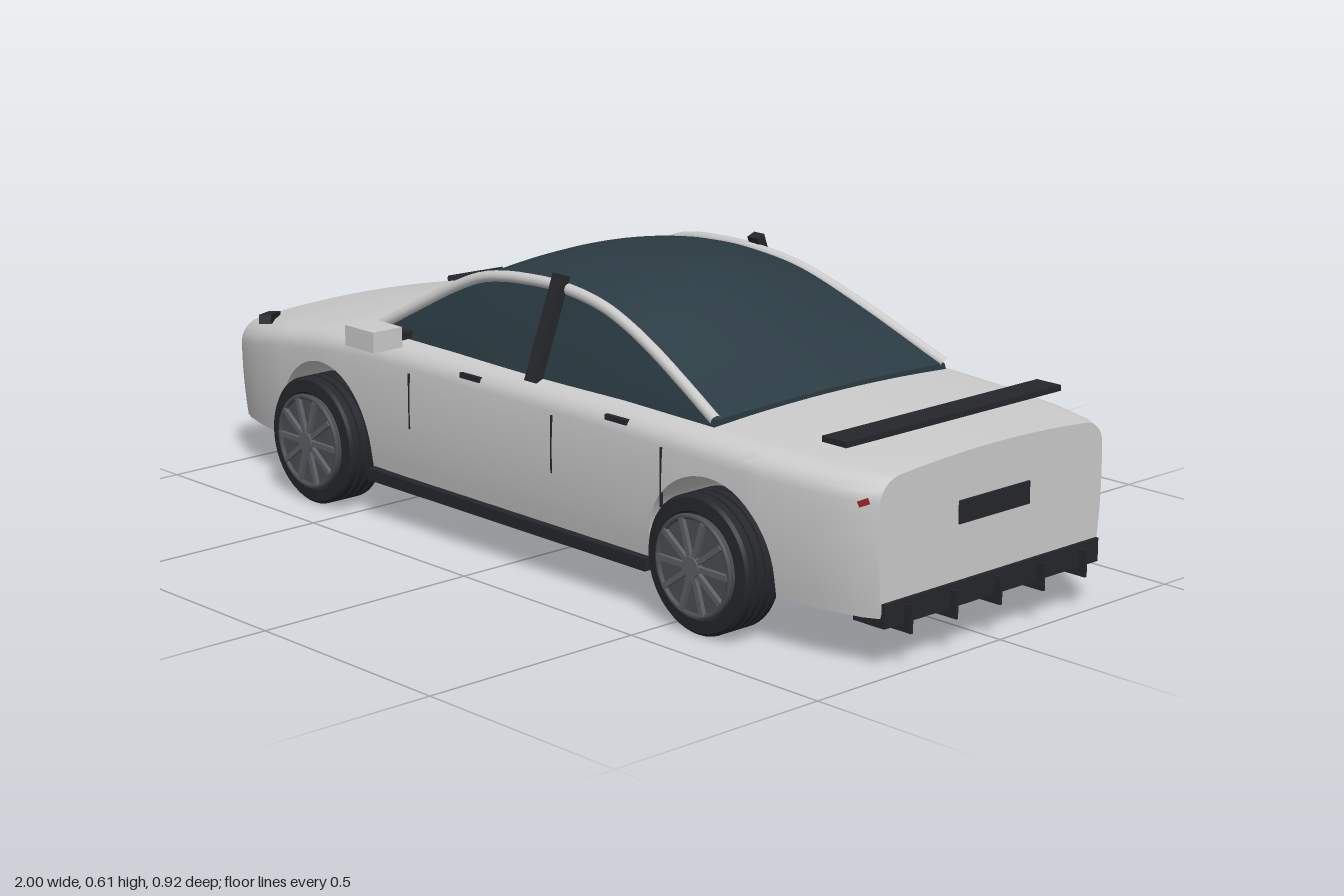
import * as THREE from 'three';
import { toCreasedNormals } from 'three/addons/utils/BufferGeometryUtils.js';

const mat = (color) => new THREE.MeshStandardMaterial({ color });
const paint = mat(0xcccccc), black = mat(0x25272b), glass = mat(0x2b3b43);
const rimGrey = mat(0x4b5054), spokeGrey = mat(0x5c6165), red = mat(0x992222);

const FLOOR = 0.105, ARCH_R = 0.165, AXLE_Y = 0.145, AXLES = [-0.62, 0.585];

// piecewise linear lookup in [[x, value], ...]
function lookup(table, x) {
  for (let i = 1; i < table.length; i++) {
    const [x0, a] = table[i - 1], [x1, b] = table[i];
    if (x <= x1) return a + (b - a) * (x - x0) / (x1 - x0);
  }
  return table[table.length - 1][1];
}

// closed skin over half sections (bottom centre -> +z side -> top centre), mirrored in z
function loft(halves, crease) {
  const rings = halves.map((h) => [...h, ...h.slice(1, -1).reverse().map(([x, y, z]) => [x, y, -z])]);
  const n = rings[0].length, pos = [];
  const tri = (...pts) => pts.forEach((p) => pos.push(...p));
  for (let i = 0; i < rings.length - 1; i++) {
    for (let j = 0; j < n; j++) {
      const k = (j + 1) % n, A = rings[i], B = rings[i + 1];
      tri(A[j], B[j], B[k]);
      tri(A[j], B[k], A[k]);
    }
  }
  for (const end of [0, rings.length - 1]) {
    const r = rings[end], mid = [r[0][0], (r[0][1] + r[halves[0].length - 1][1]) / 2, 0];
    for (let j = 0; j < n; j++) {
      const k = (j + 1) % n;
      if (end === 0) tri(mid, r[j], r[k]); else tri(mid, r[k], r[j]);
    }
  }
  const g = new THREE.BufferGeometry();
  g.setAttribute('position', new THREE.Float32BufferAttribute(pos, 3));
  return toCreasedNormals(g, crease);
}

function add(parent, name, geometry, material, x = 0, y = 0, z = 0) {
  const m = new THREE.Mesh(geometry, material);
  m.name = name;
  m.position.set(x, y, z);
  parent.add(m);
  return m;
}
const box = (parent, name, material, size, at) => add(parent, name, new THREE.BoxGeometry(...size), material, ...at);

// body shell: flat floor, full-width wheel arches, rounded shoulders
function bodyGeometry() {
  const width = [[-1, 0.31], [-0.97, 0.326], [-0.9, 0.346], [-0.8, 0.364], [-0.6, 0.379], [-0.35, 0.386],
    [0.5, 0.386], [0.7, 0.378], [0.85, 0.36], [0.94, 0.337], [0.975, 0.318]];
  const top = [[-1, 0.335], [-0.8, 0.373], [-0.65, 0.394], [-0.48, 0.41], [-0.2, 0.412], [0.3, 0.41], [0.55, 0.404], [0.975, 0.388]];
  const stations = [];
  for (const [x] of [...width, ...top, [-0.1], [0.1]]) {
    if (AXLES.every((c) => Math.abs(x - c) > ARCH_R) && !stations.some((s) => s[0] === x)) stations.push([x, FLOOR]);
  }
  stations.sort((a, b) => a[0] - b[0]);
  for (const c of AXLES) {
    const arch = [[c - ARCH_R, FLOOR]];
    for (let i = 0; i <= 24; i++) {
      const a = Math.PI * (1 - i / 24);
      arch.push([c + ARCH_R * Math.cos(a), AXLE_Y + ARCH_R * Math.sin(a)]);
    }
    arch.push([c + ARCH_R, FLOOR]);
    const at = stations.findIndex((s) => s[0] > c);
    stations.splice(at, 0, ...arch);
  }
  return loft(stations.map(([x, yb]) => {
    const W = lookup(width, x), T = lookup(top, x), half = [[x, yb, 0]];
    const shoulder = T - 0.06;
    const bulge = (y) => W * (1 - 0.04 * ((y - 0.27) / 0.165) ** 2);
    for (let j = 0; j <= 8; j++) {
      const y = yb + (shoulder - yb) * j / 8;
      half.push([x, y, bulge(y)]);
    }
    const w = bulge(shoulder);
    for (let j = 1; j <= 7; j++) {
      const a = j / 7 * Math.PI / 2;
      half.push([x, shoulder + 0.049 * Math.sin(a), w - 0.06 * (1 - Math.cos(a))]);
    }
    for (let j = 1; j <= 5; j++) {
      const u = 1 - j / 5;
      half.push([x, T - 0.011 * u * u, (w - 0.06) * u]);
    }
    return half;
  }), 0.6);
}

const curve = (pts) => new THREE.CatmullRomCurve3(pts.map((p) => new THREE.Vector3(...p)));
const roofRail = curve([[-0.48, 0.405, 0.332], [-0.34, 0.485, 0.304], [-0.19, 0.556, 0.282], [-0.05, 0.573, 0.272],
  [0.06, 0.572, 0.27], [0.19, 0.553, 0.276], [0.34, 0.5, 0.292], [0.55, 0.405, 0.325]]);
const roofTop = curve([[-0.485, 0.408, 0], [-0.34, 0.503, 0], [-0.19, 0.582, 0], [-0.07, 0.608, 0],
  [0.06, 0.61, 0], [0.19, 0.6, 0], [0.36, 0.53, 0], [0.55, 0.413, 0]]);

// glass canopy: side windows up to the rails, domed roof between them
function canopyGeometry() {
  const halves = [];
  for (let i = 0; i <= 36; i++) {
    const r = roofRail.getPoint(i / 36), c = roofTop.getPoint(i / 36);
    const base = 0.332 + 0.012 * Math.sin(Math.PI * i / 36);
    const half = [[c.x, 0.37, 0], [r.x, 0.37, base], [r.x, 0.395, base - 0.003], [r.x, r.y, r.z]];
    for (let j = 1; j <= 10; j++) {
      const u = 1 - j / 10;
      half.push([c.x + (r.x - c.x) * u, c.y + (r.y - c.y) * u * u, r.z * u]);
    }
    halves.push(half);
  }
  return loft(halves, 0.5);
}

// wheel around the z axis, outer face towards +z
function makeWheel() {
  const wheel = new THREE.Group();
  const profile = [[0, -0.048], [0.115, -0.048], [0.134, -0.046], [0.14, -0.04]];
  for (const g of [-0.022, 0, 0.022]) profile.push([0.14, g - 0.003], [0.135, g - 0.002], [0.135, g + 0.002], [0.14, g + 0.003]);
  profile.push([0.14, 0.04], [0.134, 0.046], [0.108, 0.048], [0.104, 0.04], [0, 0.04]);
  const tyre = new THREE.LatheGeometry(profile.map((p) => new THREE.Vector2(...p)), 48);
  tyre.rotateX(Math.PI / 2);
  add(wheel, 'tyre', toCreasedNormals(tyre, 0.5), black);
  const disc = new THREE.CylinderGeometry(0.1, 0.1, 0.02, 40).rotateX(Math.PI / 2);
  add(wheel, 'rimDisc', disc, rimGrey, 0, 0, 0.042);
  add(wheel, 'rimRing', new THREE.TorusGeometry(0.099, 0.006, 8, 40), rimGrey, 0, 0, 0.053);
  for (let i = 0; i < 10; i++) {
    const a = i / 10 * Math.PI * 2;
    const s = box(wheel, 'spoke', spokeGrey, [0.078, 0.011, 0.012], [0.058 * Math.cos(a), 0.058 * Math.sin(a), 0.055]);
    s.rotation.z = a;
  }
  add(wheel, 'hubCap', new THREE.CylinderGeometry(0.022, 0.024, 0.016, 20).rotateX(Math.PI / 2), spokeGrey, 0, 0, 0.056);
  return wheel;
}

export function createModel() {
  const car = new THREE.Group();
  car.name = 'car';
  add(car, 'body', bodyGeometry(), paint);
  add(car, 'canopyGlass', canopyGeometry(), glass);

  for (const s of [1, -1]) {
    // roof rail
    const railPts = roofRail.getPoints(14).map((p) => new THREE.Vector3(p.x, p.y, p.z * s));
    add(car, 'roofRail', new THREE.TubeGeometry(new THREE.CatmullRomCurve3(railPts), 48, 0.012, 10), paint);
    // middle pillar
    const pillar = box(car, 'doorPillar', black, [0.03, 0.225, 0.022], [0.05, 0.495, s * 0.315]);
    pillar.rotation.x = -s * 0.36;
    // mirror
    box(car, 'mirror', paint, [0.095, 0.044, 0.076], [-0.377, 0.42, s * 0.423]);
    const arm = box(car, 'mirrorArm', black, [0.016, 0.014, 0.075], [-0.367, 0.41, s * 0.36]);
    arm.rotation.y = s * 0.2;
    // side skirt
    box(car, 'sideSkirt', black, [0.87, 0.026, 0.03], [-0.015, 0.098, s * 0.375]);
    // headlight and tail light
    const lamp = box(car, 'headlight', black, [0.13, 0.02, 0.026], [-0.905, 0.346, s * 0.3]);
    lamp.rotation.set(0, -s * 0.81, 0.17, 'YXZ');
    const tail = box(car, 'tailLight', red, [0.022, 0.012, 0.012], [0.945, 0.33, s * 0.327]);
    tail.rotation.set(0, s * 0.5, 0.4, 'YXZ');
    // door handles and seams
    for (const x of [-0.118, 0.325]) box(car, 'doorHandle', black, [0.062, 0.011, 0.014], [x, 0.372, s * 0.374]);
    for (const x of [-0.31, 0.14, 0.46]) {
      box(car, 'doorSeam', black, [0.004, 0.12, 0.006], [x, 0.285, s * 0.3835]);
    }
    // wheels
    for (const x of AXLES) {
      const wheel = makeWheel();
      wheel.name = x < 0 ? 'frontWheel' : 'rearWheel';
      wheel.position.set(x, 0.14, s * 0.363);
      if (s < 0) wheel.rotation.y = Math.PI;
      car.add(wheel);
    }
  }

  // nose intake, rear plate, spoiler and diffuser
  box(car, 'frontIntake', black, [0.012, 0.04, 0.52], [-0.996, 0.145, 0]);
  box(car, 'rearPlate', black, [0.01, 0.046, 0.2], [0.974, 0.27, 0]);
  box(car, 'spoiler', black, [0.062, 0.012, 0.61], [0.845, 0.42, 0]);
  box(car, 'diffuser', black, [0.08, 0.048, 0.614], [0.942, 0.111, 0]);
  for (let i = -2; i <= 2; i++) box(car, 'diffuserFin', black, [0.095, 0.056, 0.006], [0.9525, 0.098, i * 0.125]);
  return car;
}
